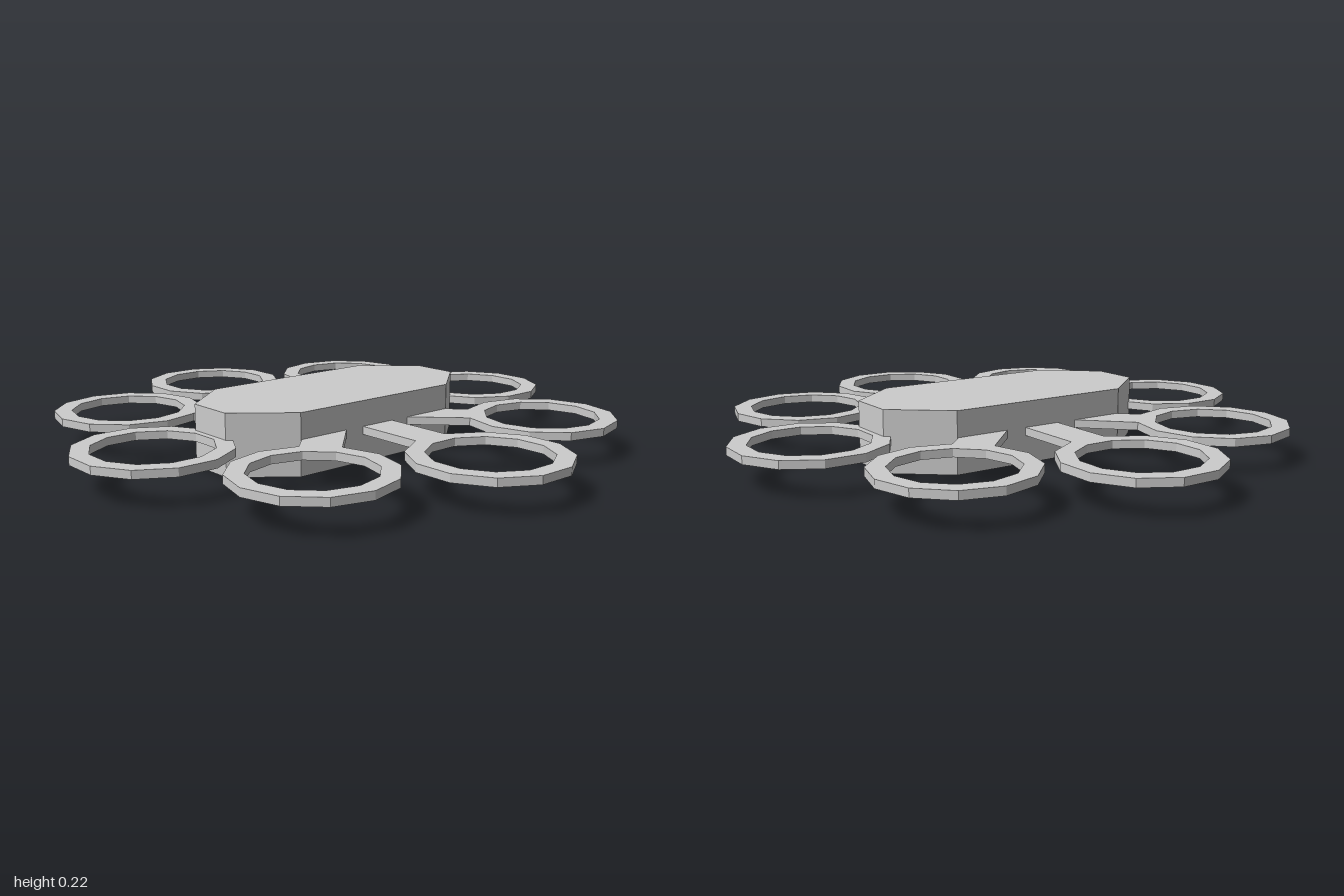
import * as THREE from 'three';

const BODY_HEIGHT = 0.215;
const ARM_Y = 0.097, ARM_THICKNESS = 0.028, ARM_WIDTH = 0.137;
const RING_DISTANCE = 0.745, RING_OUTER = 0.264, RING_INNER = 0.202;
const RING_SIDES = 12, ROTORS = 8;

// Points of a regular polygon with a flat side facing each axis
function polygon(radius) {
  return Array.from({ length: RING_SIDES }, (_, i) => {
    const a = ((i + 0.5) / RING_SIDES) * Math.PI * 2;
    return new THREE.Vector2(Math.cos(a) * radius, Math.sin(a) * radius);
  });
}

// Flat outline lying in the ground plane, raised from y = 0 to the given height
function slab(shape, height) {
  return new THREE.ExtrudeGeometry(shape, { depth: height, bevelEnabled: false }).rotateX(-Math.PI / 2);
}

export function createModel() {
  const model = new THREE.Group();
  model.name = 'multirotorDrone';
  const material = new THREE.MeshStandardMaterial({ color: 0xcccccc, flatShading: true });

  // Long body with cut corners
  const outline = [[0.24, -0.34], [0.24, 0.34], [0.087, 0.528], [-0.087, 0.528],
    [-0.24, 0.34], [-0.24, -0.34], [-0.087, -0.528], [0.087, -0.528]];
  const body = new THREE.Mesh(
    slab(new THREE.Shape(outline.map(([x, y]) => new THREE.Vector2(x, y))), BODY_HEIGHT), material);
  body.name = 'body';
  model.add(body);

  // Shared rotor guard ring and arm
  const ringShape = new THREE.Shape(polygon(RING_OUTER));
  ringShape.holes.push(new THREE.Path(polygon(RING_INNER)));
  const ringGeometry = slab(ringShape, ARM_THICKNESS).translate(RING_DISTANCE, 0, 0);

  const armStart = 0.1;
  const armEnd = RING_DISTANCE - RING_OUTER * Math.cos(Math.PI / RING_SIDES);
  const armGeometry = new THREE.BoxGeometry(armEnd - armStart, ARM_THICKNESS, ARM_WIDTH)
    .translate((armStart + armEnd) / 2, ARM_THICKNESS / 2, 0);

  // Eight rotors evenly spaced around the body
  for (let i = 0; i < ROTORS; i++) {
    const rotor = new THREE.Group();
    rotor.name = `rotor${i + 1}`;
    const ring = new THREE.Mesh(ringGeometry, material);
    ring.name = 'guardRing';
    const arm = new THREE.Mesh(armGeometry, material);
    arm.name = 'arm';
    rotor.add(ring, arm);
    rotor.position.y = ARM_Y;
    rotor.rotation.y = (i / ROTORS) * Math.PI * 2;
    model.add(rotor);
  }
  return model;
}
